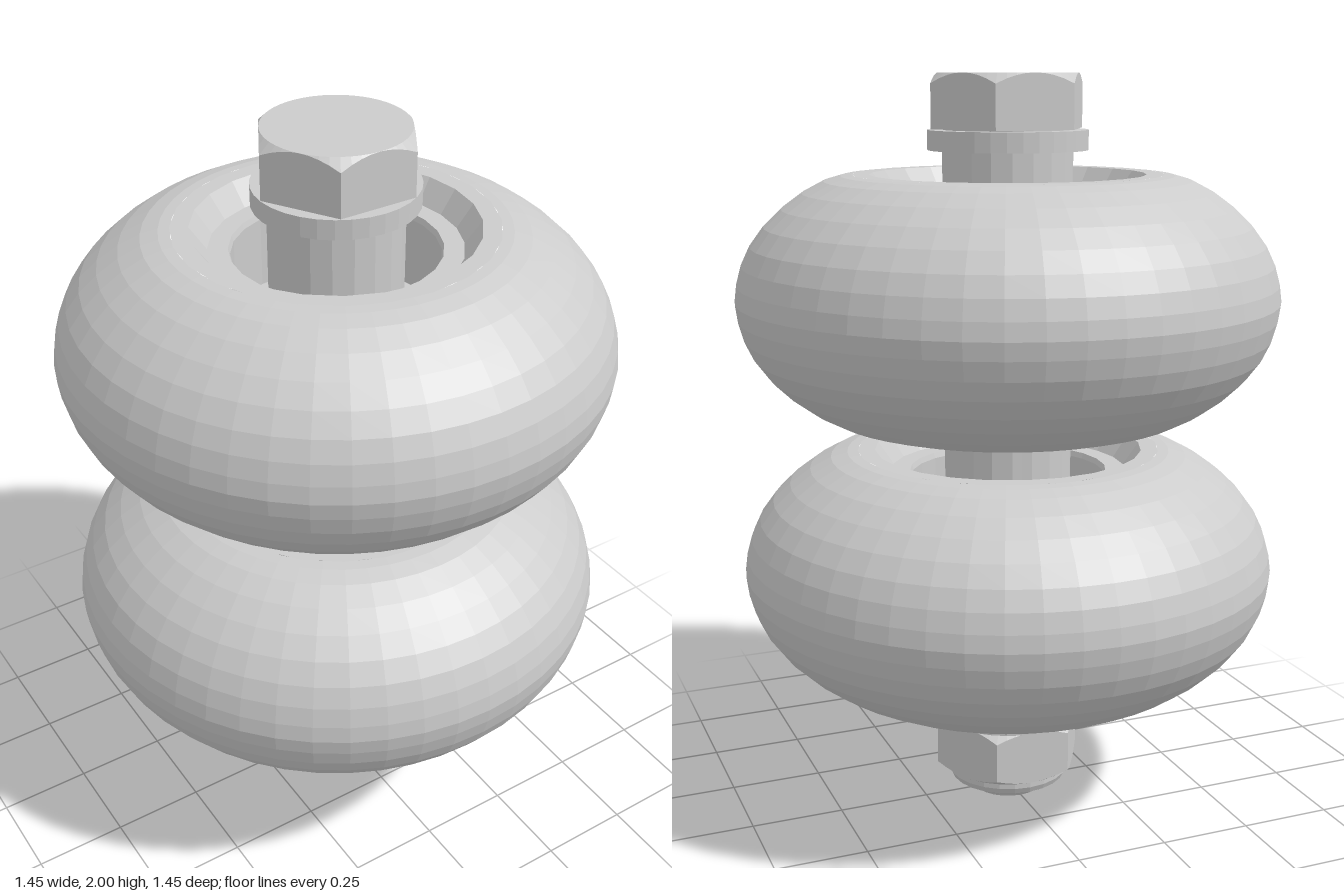
import * as THREE from 'three';

const material = new THREE.MeshStandardMaterial({ color: 0xcccccc, flatShading: true });

function part(name, geometry, y = 0) {
  const mesh = new THREE.Mesh(geometry, material);
  mesh.name = name;
  mesh.position.y = y;
  return mesh;
}

// Profile points are [radius, height], listed from bottom to top on the outside
function lathe(points, segments) {
  return new THREE.LatheGeometry(points.map(([r, y]) => new THREE.Vector2(r, y)), segments);
}

function cylinder(name, radius, y0, y1, segments) {
  return part(name, new THREE.CylinderGeometry(radius, radius, y1 - y0, segments), (y0 + y1) / 2);
}

// Hexagon with flats facing z, corners rounded off by a conical chamfer
function hexGeometry(apothem, height, chamferTop, chamferBottom) {
  const geo = new THREE.CylinderGeometry(apothem, apothem, height, 48, 3);
  const pos = geo.attributes.position;
  const corner = apothem / Math.cos(Math.PI / 6);
  const step = Math.PI / 3;
  for (let i = 0; i < pos.count; i++) {
    const x = pos.getX(i), y = pos.getY(i), z = pos.getZ(i);
    if (Math.hypot(x, z) < 0.001) continue;
    const chamfer = y > 0 ? chamferTop : chamferBottom;
    const isEnd = Math.abs(y) > height / 2 - 0.001;
    if (isEnd && chamfer > 0) continue;
    const angle = Math.atan2(x, z);
    const r = apothem / Math.cos(angle - Math.round(angle / step) * step);
    const drop = chamfer * (r - apothem) / (corner - apothem);
    pos.setXYZ(i, x * r / apothem, Math.sign(y) * (height / 2 - drop), z * r / apothem);
  }
  geo.computeVertexNormals();
  return geo;
}

function createWheel(name, y) {
  const wheel = new THREE.Group();
  wheel.name = name;
  wheel.position.y = y;

  // Rounded tyre, mirrored about its middle
  const half = [[0.725, 0], [0.719, 0.045], [0.705, 0.095], [0.681, 0.145], [0.644, 0.195],
    [0.597, 0.24], [0.542, 0.28], [0.485, 0.31], [0.44, 0.323], [0.41, 0.326]];
  const lower = half.slice(1).reverse().map(([r, h]) => [r, -h]);
  wheel.add(part('tyre', lathe([...lower, ...half], 48)));

  // Stepped recess and bearing face on both sides
  const recess = [[0.412, 0.326], [0.365, 0.326], [0.322, 0.265], [0.27, 0.265],
    [0.265, 0.25], [0.265, 0.06], [0.17, 0.06]];
  wheel.add(part('upperHub', lathe(recess, 24)));
  const lowerHub = part('lowerHub', lathe(recess, 24));
  lowerHub.rotation.x = Math.PI;
  wheel.add(lowerHub);
  return wheel;
}

export function createModel() {
  const model = new THREE.Group();
  model.name = 'rollerPair';

  model.add(createWheel('lowerWheel', 0.675));
  model.add(createWheel('upperWheel', 1.415));

  // Axle sleeve and washers
  model.add(cylinder('axle', 0.173, 0.2, 1.86, 20));
  model.add(cylinder('lowerWasher', 0.212, 0.235, 0.287, 32));
  model.add(cylinder('upperWasher', 0.212, 1.803, 1.855, 32));

  // Bolt head and nut
  model.add(part('boltHead', hexGeometry(0.185, 0.142, 0.027, 0), 1.929));
  model.add(part('nut', hexGeometry(0.185, 0.15, 0.02, 0.02), 0.152));

  // Rounded locking collar under the nut
  model.add(part('nutCollar', lathe([[0.1, 0.04], [0.12, 0.028], [0.145, 0.028],
    [0.162, 0.038], [0.17, 0.055], [0.17, 0.085]], 24)));

  // Chamfered bolt tip
  model.add(part('boltTip', lathe([[0, 0], [0.1, 0], [0.115, 0.022], [0.115, 0.1]], 24)));

  return model;
}
